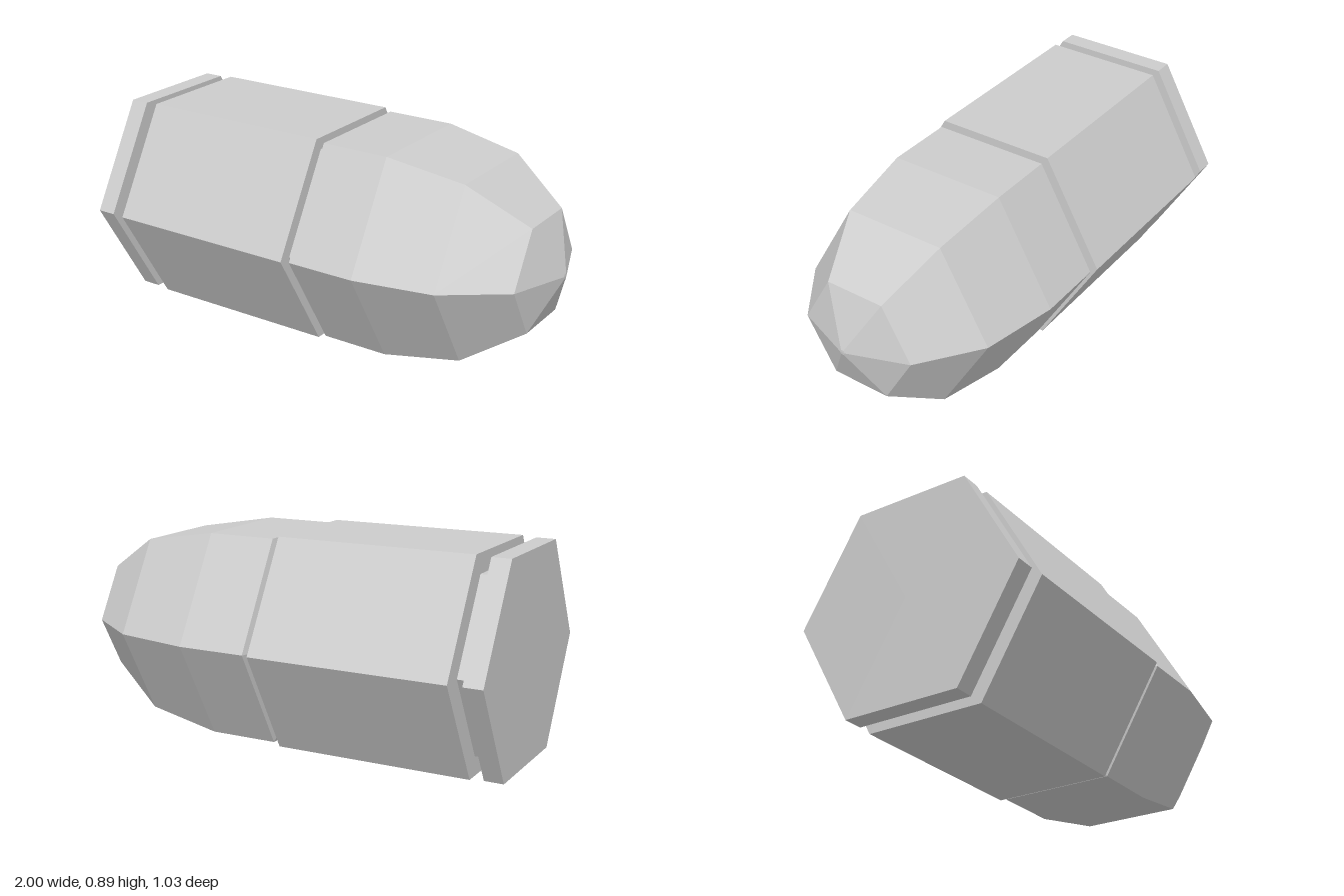
import * as THREE from 'three';

const SIDES = 6;
const AXIS_HEIGHT = 0.447;

// Six-sided turned part lying along x; profile entries are [x, corner radius]
function turned(name, profile, material) {
  const points = profile.map(([x, r]) => new THREE.Vector2(r, x));
  const geometry = new THREE.LatheGeometry(points, SIDES);
  geometry.rotateZ(-Math.PI / 2);
  const mesh = new THREE.Mesh(geometry, material);
  mesh.name = name;
  mesh.position.y = AXIS_HEIGHT;
  return mesh;
}

export function createModel() {
  const material = new THREE.MeshStandardMaterial({ color: 0xcccccc, flatShading: true });
  const group = new THREE.Group();
  group.name = 'cartridge';

  // Case: closed base, rim, extractor groove, straight body and front lip
  group.add(turned('case', [
    [-1, 0], [-1, 0.51], [-0.918, 0.51], [-0.918, 0.42],
    [-0.86, 0.42], [-0.86, 0.516], [-0.004, 0.516], [-0.004, 0.458],
  ], material));

  // Bullet: narrow neck, small bevel, straight shank and rounded nose
  group.add(turned('bullet', [
    [-0.004, 0.458], [0.013, 0.458], [0.027, 0.502], [0.325, 0.502],
    [0.66, 0.437], [0.908, 0.258], [0.999, 0.012], [1, 0],
  ], material));

  return group;
}
